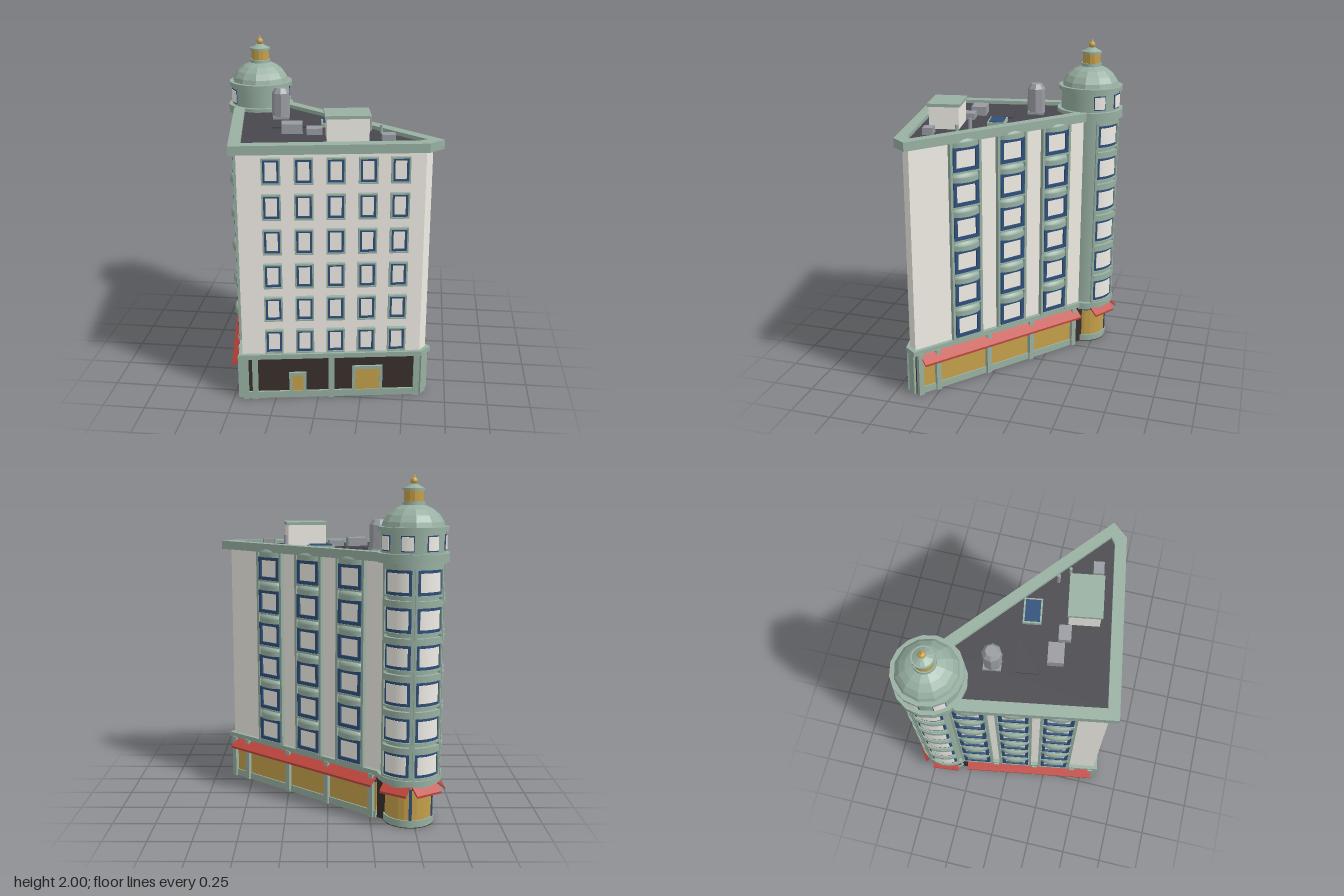
import * as THREE from 'three';

const mat = (color, flat = false) => new THREE.MeshStandardMaterial({ color, flatShading: flat, side: THREE.DoubleSide });
const GREEN = mat(0x98b0a2), DOME = mat(0x98b0a2, true), BLUE = mat(0x2f4f7a), RED = mat(0xbf463e), GOLD = mat(0xc4a04a, true);
const WALL = mat(0xf0ede6), DARK = mat(0x38302c), ROOF = mat(0x48474d), GREY = mat(0x989ba1, true);

const FLOORS = [0.38, 0.588, 0.795, 1.003, 1.21, 1.417];
const TOWER = [-0.475, -0.417], FACING = 2.122;
// Footprint corners as [x, z]
const FL = [-0.44, 0.575], FR = [0.59, 0.412], CH = [0.623, 0.365], T1 = [-0.337, -0.435], T0 = [-0.58, -0.3];

function add(parent, name, geo, material, x = 0, y = 0, z = 0) {
  const m = new THREE.Mesh(geo, material);
  m.name = name;
  m.position.set(x, y, z);
  parent.add(m);
  return m;
}
const extrude = (shape, depth) => new THREE.ExtrudeGeometry(shape, { depth, bevelEnabled: false, curveSegments: 10 });
const box = (p, name, m, w, h, d, x, y, z) => add(p, name, new THREE.BoxGeometry(w, h, d), m, x, y, z);
const cyl = (p, name, m, r0, r1, y0, y1, n = 32) =>
  add(p, name, new THREE.CylinderGeometry(r1, r0, y1 - y0, n), m, 0, (y0 + y1) / 2, 0);

// Horizontal slab from a plan outline
function slab(p, name, m, pts, y0, y1, hole) {
  const vec = a => a.map(([x, z]) => new THREE.Vector2(x, -z));
  const s = new THREE.Shape(vec(pts));
  if (hole) s.holes.push(new THREE.Path(vec(hole)));
  return add(p, name, extrude(s, y1 - y0).rotateX(-Math.PI / 2), m, 0, y0, 0);
}

// Curved block around the tower axis
function arcBlock(p, name, m, r0, r1, y0, y1, a, half) {
  const s = new THREE.Shape();
  s.absarc(0, 0, r1, a - half, a + half, false);
  s.absarc(0, 0, r0, a + half, a - half, true);
  return add(p, name, extrude(s, y1 - y0).rotateX(-Math.PI / 2), m, 0, y0, 0);
}

// Rectangular ring standing on a wall
function ring(p, name, m, w, h, t, d, x, y, z = 0) {
  const rect = (S, a, b) => new S([[-a, -b], [a, -b], [a, b], [-a, b]].map(q => new THREE.Vector2(...q)));
  const s = rect(THREE.Shape, w / 2, h / 2);
  s.holes.push(rect(THREE.Path, w / 2 - t, h / 2 - t));
  return add(p, name, extrude(s, d), m, x, y, z);
}

// Sloping awning along local x
function awning(p, x, w, z = 0, out = 0.066) {
  const s = new THREE.Shape([[0, 0.262], [0, 0.25], [out, 0.203], [out, 0.216]].map(q => new THREE.Vector2(...q)));
  add(p, 'awning', extrude(s, w).rotateY(-Math.PI / 2), RED, x + w, 0, z);
}

// Group whose local x runs from a to b and local z points outward
function facade(parent, name, a, b) {
  const g = new THREE.Group();
  g.name = name;
  g.position.set(a[0], 0, a[1]);
  g.rotation.y = Math.atan2(a[1] - b[1], b[0] - a[0]);
  g.userData.length = Math.hypot(b[0] - a[0], b[1] - a[1]);
  parent.add(g);
  return g;
}

// Plain window of the front wall
function frontWindow(p, x, y) {
  ring(p, 'windowSurround', GREEN, 0.106, 0.15, 0.009, 0.024, x, y);
  ring(p, 'windowFrame', BLUE, 0.09, 0.134, 0.013, 0.017, x, y);
  box(p, 'windowPane', WALL, 0.066, 0.11, 0.01, x, y, 0.004);
}

// Bowed hood: a curved rim with a quarter dome on top
function hood(p, x, y) {
  const rim = new THREE.CylinderGeometry(1, 1, 0.026, 16, 1, false, -Math.PI / 2, Math.PI).scale(0.093, 1, 0.05);
  add(p, 'hoodRim', rim, GREEN, x, y + 0.013, 0);
  const cap = new THREE.SphereGeometry(1, 16, 5, 0, Math.PI, 0, Math.PI / 2).scale(0.093, 0.036, 0.05);
  add(p, 'hoodDome', cap, GREEN, x, y + 0.026, 0);
}

// Full-height window bay with bowed hoods
function bay(p, x) {
  box(p, 'bayPanel', GREEN, 0.2, 1.23, 0.016, x, 0.905, 0);
  for (const s of [-1, 1]) box(p, 'bayPilaster', GREEN, 0.016, 1.24, 0.032, x + s * 0.096, 0.905, 0.01);
  for (const y of FLOORS) {
    ring(p, 'windowFrame', BLUE, 0.168, 0.144, 0.02, 0.02, x, y, 0.008);
    box(p, 'windowPane', WALL, 0.13, 0.106, 0.01, x, y, 0.012);
    box(p, 'windowSill', GREEN, 0.18, 0.01, 0.034, x, y - 0.077, 0.015);
    hood(p, x, y + 0.073);
  }
}

// Glazed shop floor on the side walls
function shopfront(p, pilasters, x0, x1) {
  const w = x1 - x0, c = (x0 + x1) / 2;
  box(p, 'shopGlazing', GOLD, w, 0.18, 0.012, c, 0.13, 0);
  box(p, 'shopTransom', BLUE, w, 0.014, 0.02, c, 0.226, 0);
  box(p, 'plinth', GREEN, w, 0.042, 0.03, c, 0.021, 0);
  for (const x of pilasters) box(p, 'shopPilaster', GREEN, 0.032, 0.27, 0.05, x, 0.135, 0.005);
  awning(p, x0, w);
}

function buildTower(parent) {
  const t = new THREE.Group();
  t.name = 'cornerTower';
  t.position.set(TOWER[0], 0, TOWER[1]);
  parent.add(t);
  cyl(t, 'towerFooting', DARK, 0.15, 0.15, 0, 0.004);
  cyl(t, 'towerPlinth', GREEN, 0.15, 0.15, 0.004, 0.045);
  cyl(t, 'towerShop', GOLD, 0.142, 0.142, 0.045, 0.235, 24);
  cyl(t, 'towerTransom', BLUE, 0.147, 0.147, 0.225, 0.245);
  cyl(t, 'towerLedge', GREEN, 0.188, 0.188, 0.262, 0.295);
  cyl(t, 'towerShaft', GREEN, 0.165, 0.165, 0.24, 1.53);
  cyl(t, 'towerCornice', GREEN, 0.207, 0.207, 1.52, 1.572, 16);
  for (const k of [-1, 0, 1]) {
    const a = FACING + k * 1.13;
    for (const y of FLOORS) {
      arcBlock(t, 'towerWindowFrame', BLUE, 0.16, 0.176, y - 0.07, y + 0.07, a, 0.48);
      arcBlock(t, 'towerWindowPane', WALL, 0.16, 0.179, y - 0.052, y + 0.052, a, 0.38);
      arcBlock(t, 'towerSill', GREEN, 0.16, 0.186, y - 0.082, y - 0.07, a, 0.5);
      arcBlock(t, 'towerHood', GREEN, 0.16, 0.187, y + 0.07, y + 0.108, a, 0.49);
    }
    for (const s of [-1, 1]) arcBlock(t, 'towerPilaster', GREEN, 0.16, 0.185, 0.29, 1.52, a + s * 0.51, 0.035);
    arcBlock(t, 'shopMullion', BLUE, 0.13, 0.147, 0.045, 0.235, a + 0.565, 0.06);
    const g = new THREE.Group();
    g.name = 'towerAwning';
    g.rotation.y = a + Math.PI / 2;
    t.add(g);
    awning(g, -0.085, 0.17, 0.14, 0.057);
  }
  // Drum, dome and lantern
  cyl(t, 'drum', GREEN, 0.182, 0.182, 1.57, 1.69, 16);
  for (let k = -2; k <= 2; k++) {
    arcBlock(t, 'drumWindowFrame', BLUE, 0.17, 0.186, 1.585, 1.672, FACING + k * 0.8, 0.2);
    arcBlock(t, 'drumWindowPane', WALL, 0.17, 0.189, 1.591, 1.666, FACING + k * 0.8, 0.175);
  }
  cyl(t, 'drumCornice', GREEN, 0.2, 0.2, 1.69, 1.715, 16);
  const dome = [[0.178, 1.712], [0.17, 1.742], [0.146, 1.778], [0.108, 1.81], [0.06, 1.833], [0, 1.84]];
  add(t, 'dome', new THREE.LatheGeometry(dome.map(q => new THREE.Vector2(...q)), 12), DOME);
  cyl(t, 'lanternBase', GREEN, 0.064, 0.062, 1.828, 1.85, 16);
  cyl(t, 'lantern', GOLD, 0.055, 0.055, 1.85, 1.912, 12);
  cyl(t, 'lanternCornice', GREEN, 0.063, 0.063, 1.91, 1.922, 16);
  cyl(t, 'lanternRoof', DOME, 0.055, 0.018, 1.922, 1.945, 12);
  add(t, 'finialBall', new THREE.SphereGeometry(0.021, 12, 8), GOLD, 0, 1.96, 0);
  cyl(t, 'finialTip', GOLD, 0.009, 0.001, 1.975, 2, 8);
}

function buildRoof(parent) {
  const outer = [[-0.47, 0.628], [0.607, 0.455], [0.684, 0.365], [-0.298, -0.458], TOWER, [-0.616, -0.24]];
  const inner = [[-0.415, 0.553], [0.55, 0.396], [0.59, 0.367], [-0.3, -0.375], [-0.545, -0.22]];
  slab(parent, 'cornice', GREEN, outer, 1.52, 1.572, inner);
  slab(parent, 'roofDeck', ROOF, inner, 1.53, 1.55);
  // Rooftop equipment, square to the front wall
  const at = (name, x, z) => {
    const g = new THREE.Group();
    g.name = name;
    g.position.set(x, 1.545, z);
    g.rotation.y = 0.158;
    parent.add(g);
    return g;
  };
  const house = at('stairHouse', 0.143, 0.309);
  box(house, 'houseWalls', WALL, 0.235, 0.14, 0.175, 0, 0.07, 0);
  box(house, 'houseRoof', GREEN, 0.255, 0.018, 0.192, 0, 0.145, 0);
  const tank = at('waterTank', -0.298, -0.113);
  box(tank, 'tankBase', GREY, 0.1, 0.02, 0.1, 0, 0.01, 0);
  cyl(tank, 'tankBody', GREY, 0.054, 0.054, 0.02, 0.16, 8);
  cyl(tank, 'tankRoof', GREY, 0.054, 0.034, 0.16, 0.19, 8);
  const sky = at('skylight', 0.041, 0.034);
  box(sky, 'skylightCurb', GREEN, 0.15, 0.028, 0.105, 0, 0.014, 0);
  box(sky, 'skylightGlass', BLUE, 0.13, 0.006, 0.085, 0, 0.029, 0);
  box(at('roofHatch', -0.21, 0.069), 'hatchCover', ROOF, 0.22, 0.014, 0.13, 0, 0.007, 0);
  for (const [x, z, w, d, h] of [[-0.182, 0.215, 0.12, 0.09, 0.06], [-0.05, 0.237, 0.09, 0.07, 0.042], [0.376, 0.339, 0.075, 0.06, 0.045]])
    box(at('ventUnit', x, z), 'ventBox', GREY, w, h, d, 0, h / 2, 0);
  cyl(at('ventPipe', 0.259, 0.132), 'pipe', GREY, 0.011, 0.011, 0, 0.08, 10);
  cyl(at('ventPipe', 0.328, 0.187), 'pipe', GREEN, 0.009, 0.009, 0, 0.055, 10);
}

export function createModel() {
  const model = new THREE.Group();
  model.name = 'cornerBuilding';
  const plan = [FL, FR, CH, T1, TOWER, T0];
  slab(model, 'groundFloor', DARK, plan, 0, 0.27);
  slab(model, 'upperWalls', WALL, plan, 0.27, 1.535);
  slab(model, 'ledge', GREEN, [[-0.458, 0.6], [0.604, 0.432], [0.655, 0.362], [-0.323, -0.456], TOWER, [-0.604, -0.3]], 0.265, 0.295);

  // Front wall
  const front = facade(model, 'frontWall', FL, FR);
  const along = x => (x - FL[0]) / 0.988;
  for (const x of [-0.254, -0.077, 0.099, 0.275, 0.451]) for (const y of FLOORS) frontWindow(front, along(x), y);
  box(front, 'plinth', GREEN, front.userData.length, 0.042, 0.024, front.userData.length / 2, 0.021, 0);
  for (const x of [-0.425, -0.37, 0.075, 0.575]) box(front, 'shopPilaster', GREEN, 0.034, 0.27, 0.044, along(x), 0.135, 0);
  for (const [x, w, h] of [[-0.122, 0.066, 0.146], [0.287, 0.144, 0.18]]) {
    box(front, 'door', GOLD, w, h, 0.014, along(x), h / 2, 0);
    box(front, 'doorLintel', GREEN, w + 0.036, 0.02, 0.026, along(x), h + 0.01, 0);
    for (const s of [-1, 1]) box(front, 'doorJamb', GREEN, 0.018, h, 0.026, along(x) + s * (w / 2 + 0.009), h / 2, 0);
  }
  const chamfer = facade(model, 'chamferedCorner', FR, CH);
  box(chamfer, 'cornerPilaster', GREEN, 0.05, 0.27, 0.03, 0.028, 0.135, 0);

  // Long back wall and short side wall
  const back = facade(model, 'backWall', CH, T1);
  for (const x of [0.352, 0.672, 0.995]) bay(back, x);
  shopfront(back, [0.02, 0.14, 0.5, 0.82, 1.16], 0.03, 1.19);
  const side = facade(model, 'sideWall', T0, FL);
  for (const x of [0.11, 0.362, 0.615]) bay(side, x);
  shopfront(side, [0.235, 0.49, 0.74, 0.865], 0.04, 0.87);

  buildTower(model);
  buildRoof(model);
  return model;
}
